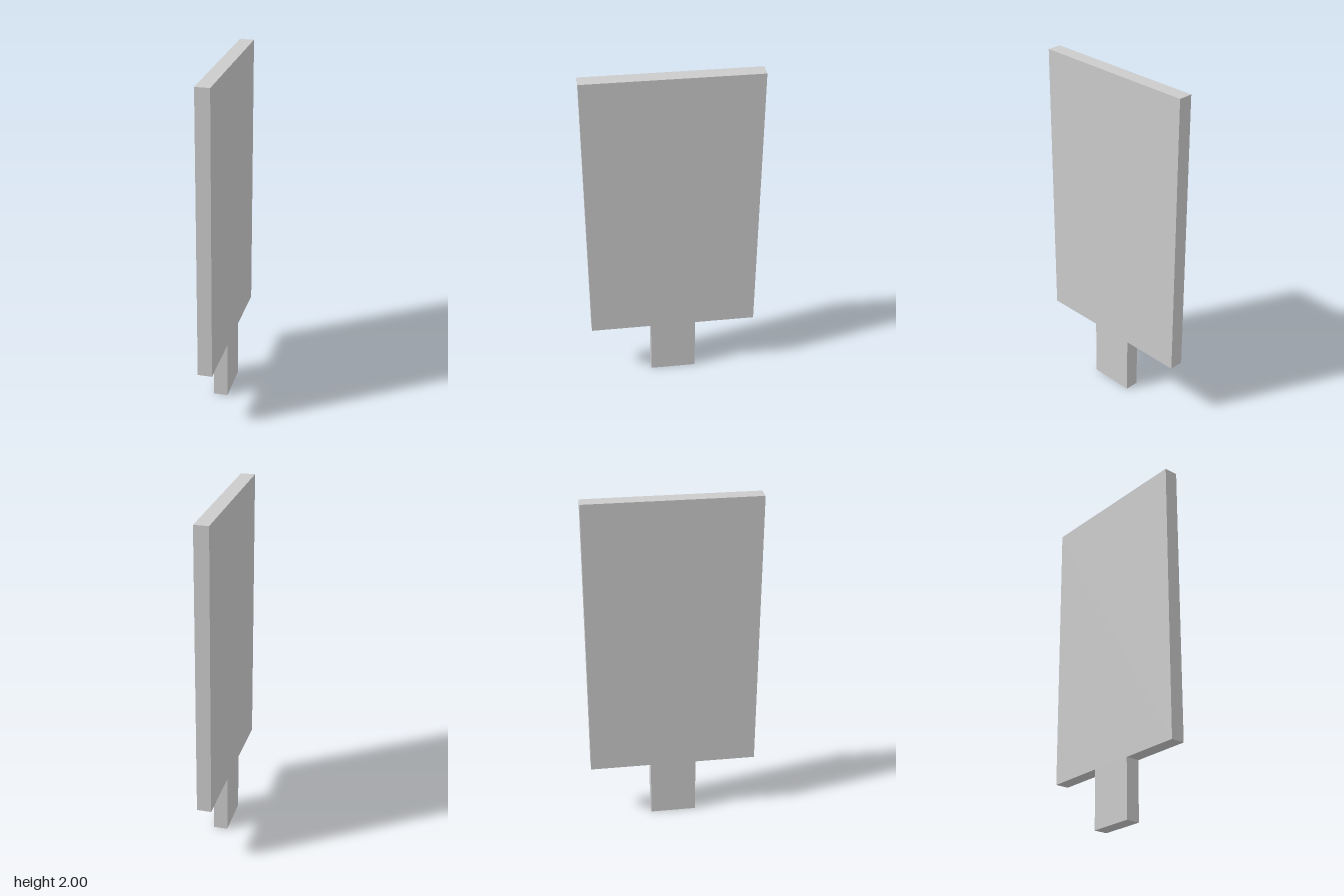
import * as THREE from 'three';

const THICKNESS = 0.082;
const HEIGHT = 2;
const BLADE_HALF = 0.49; // half width of the blade along z
const BLADE_BOTTOM = 0.345;
const HANDLE_HALF = 0.134; // half width of the handle along z

export function createModel() {
  const group = new THREE.Group();
  group.name = 'paddleBoard';

  // One outline for blade and handle, so the faces run on without a seam
  const half = [
    [HANDLE_HALF, 0],
    [HANDLE_HALF, BLADE_BOTTOM],
    [BLADE_HALF, BLADE_BOTTOM],
    [BLADE_HALF, HEIGHT],
  ];
  const mirrored = half.map(([w, y]) => [-w, y]).reverse();
  const outline = new THREE.Shape(
    [...half, ...mirrored].map(([w, y]) => new THREE.Vector2(w, y))
  );

  // Extrude the board, centre its thickness and turn its width along z
  const geometry = new THREE.ExtrudeGeometry(outline, { depth: THICKNESS, bevelEnabled: false });
  geometry.translate(0, 0, -THICKNESS / 2);
  geometry.rotateY(Math.PI / 2);

  const board = new THREE.Mesh(
    geometry,
    new THREE.MeshStandardMaterial({ color: 0xcccccc, flatShading: true })
  );
  board.name = 'bladeAndHandle';
  group.add(board);
  return group;
}
